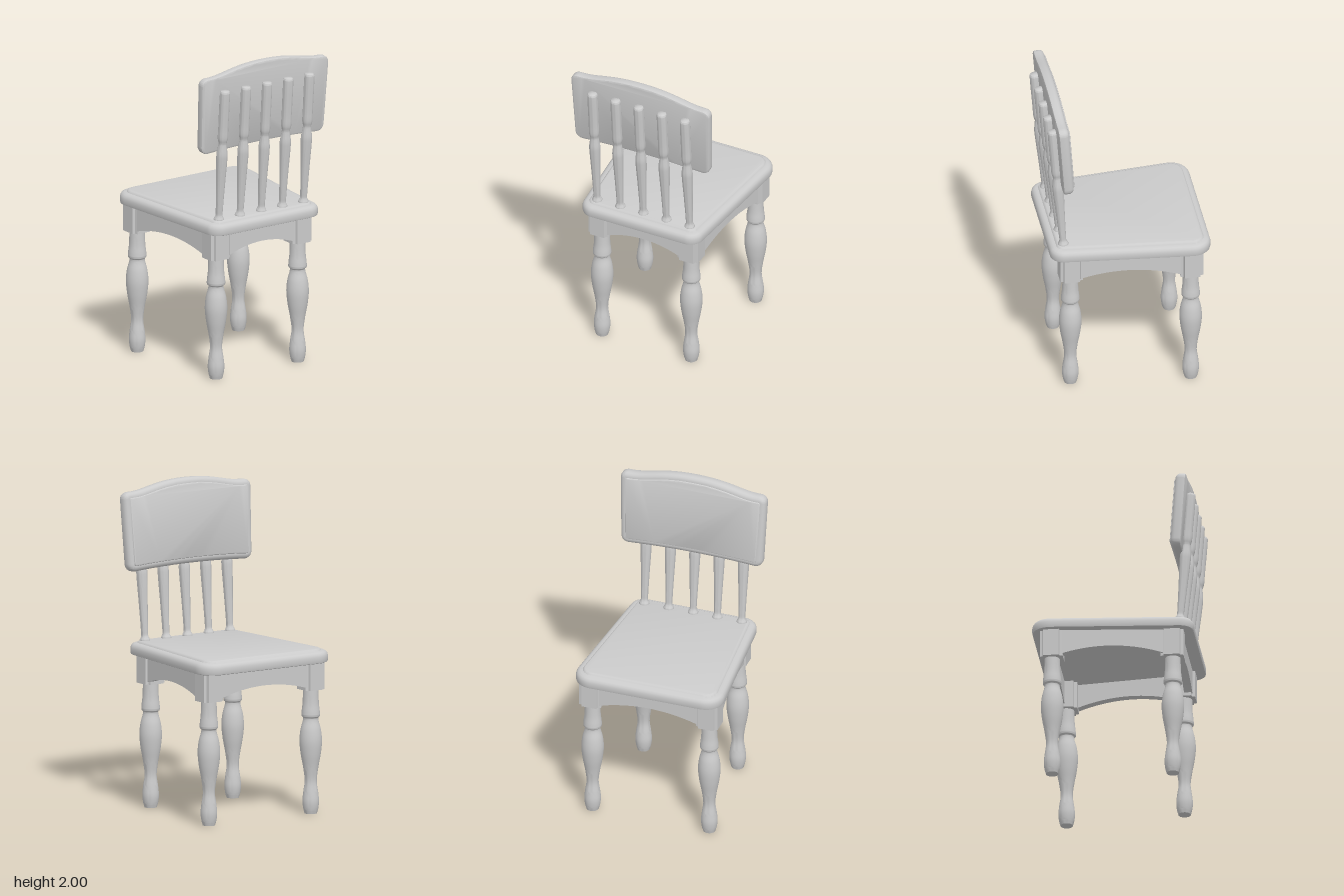
import * as THREE from 'three';
import { toCreasedNormals } from 'three/addons/utils/BufferGeometryUtils.js';

const material = new THREE.MeshStandardMaterial({ color: 0xcccccc });

function add(parent, name, geometry) {
  const mesh = new THREE.Mesh(geometry, material);
  mesh.name = name;
  parent.add(mesh);
  return mesh;
}

// Solid with a moulded edge: the outline repeated at each [inset, height] along z, capped at both ends
function mouldedSlab(shape, profile) {
  const outline = shape.getPoints(14);
  if (outline[0].distanceTo(outline[outline.length - 1]) < 1e-4) outline.pop();
  const n = outline.length;
  const inward = outline.map((p, i) => {
    const a = p.clone().sub(outline[(i + n - 1) % n]).normalize();
    const b = outline[(i + 1) % n].clone().sub(p).normalize();
    const t = a.add(b).normalize();
    return new THREE.Vector2(-t.y, t.x);
  });
  const positions = [], index = [];
  profile.forEach(([inset, h]) => outline.forEach((p, i) =>
    positions.push(p.x + inward[i].x * inset, p.y + inward[i].y * inset, h)));
  for (let r = 0; r < profile.length - 1; r++) {
    for (let i = 0; i < n; i++) {
      const a = r * n + i, b = r * n + (i + 1) % n;
      index.push(a, b, b + n, a, b + n, a + n);
    }
  }
  const top = (profile.length - 1) * n;
  for (const [a, b, c] of THREE.ShapeUtils.triangulateShape(outline, [])) {
    index.push(a, c, b, top + a, top + b, top + c);
  }
  const g = new THREE.BufferGeometry();
  g.setAttribute('position', new THREE.Float32BufferAttribute(positions, 3));
  g.setIndex(index);
  return toCreasedNormals(g, 0.7);
}

// Polygon (counter-clockwise) of [x, y, cornerRadius] with rounded corners
function roundedPolygon(corners) {
  const shape = new THREE.Shape();
  const n = corners.length;
  corners.forEach(([x, y, r], i) => {
    const c = new THREE.Vector2(x, y);
    const toward = (j, d) => {
      const q = corners[(j + n) % n];
      return new THREE.Vector2(q[0], q[1]).sub(c).setLength(d).add(c);
    };
    const p0 = toward(i - 1, r), p1 = toward(i - 1, r * 0.45);
    const p2 = toward(i + 1, r * 0.45), p3 = toward(i + 1, r);
    if (i === 0) shape.moveTo(p0.x, p0.y); else shape.lineTo(p0.x, p0.y);
    shape.bezierCurveTo(p1.x, p1.y, p2.x, p2.y, p3.x, p3.y);
  });
  shape.closePath();
  return shape;
}

// Turned post from [radius, height] points, smoothed and closed at both ends
function turned(points, steps) {
  const curve = new THREE.CatmullRomCurve3(
    points.map(([r, y]) => new THREE.Vector3(r, y, 0)), false, 'centripetal');
  const side = curve.getPoints(steps).map(p => new THREE.Vector2(p.x, p.y));
  const profile = [new THREE.Vector2(0, points[0][1]), ...side,
    new THREE.Vector2(0, points[points.length - 1][1])];
  return toCreasedNormals(new THREE.LatheGeometry(profile, 28), 0.8);
}

export function createModel() {
  const chair = new THREE.Group();
  chair.name = 'chair';

  // Tapered seat with rounded rim and slightly raised centre
  const seatShape = roundedPolygon([
    [-0.5, -0.485, 0.13], [0.485, -0.398, 0.08], [0.485, 0.398, 0.08], [-0.5, 0.485, 0.13]]);
  const seat = mouldedSlab(seatShape, [
    [0.012, 0.94], [0.003, 0.944], [0, 0.955], [0, 0.98], [0.004, 0.994], [0.013, 1.005],
    [0.026, 1.011], [0.042, 1.012], [0.047, 1.02], [0.055, 1.024]]);
  add(chair, 'seat', seat.rotateX(-Math.PI / 2));

  // Legs with corner blocks
  const legGeometry = turned([
    [0.038, 0], [0.046, 0.03], [0.051, 0.075], [0.046, 0.13], [0.037, 0.2], [0.046, 0.28],
    [0.062, 0.37], [0.069, 0.45], [0.062, 0.52], [0.048, 0.575], [0.047, 0.592],
    [0.056, 0.602], [0.056, 0.625], [0.05, 0.68], [0.047, 0.78]], 70);
  const blockShape = new THREE.Shape();
  const corner = [[0.07, 0.048], [0.052, 0.052], [0.048, 0.07]];
  for (let q = 0; q < 4; q++) {
    for (const [x, y] of corner) {
      const p = new THREE.Vector2(x, y).rotateAround(new THREE.Vector2(), q * Math.PI / 2);
      if (q === 0 && x === 0.07) blockShape.moveTo(p.x, p.y); else blockShape.lineTo(p.x, p.y);
    }
  }
  const blockGeometry = new THREE.ExtrudeGeometry(blockShape, { depth: 0.175, bevelEnabled: false });
  blockGeometry.rotateX(-Math.PI / 2).translate(0, 0.768, 0);

  const frontX = -0.376, frontZ = 0.376, backX = 0.355, backZ = 0.303;
  for (const side of [1, -1]) {
    for (const [name, x, z] of [['front', frontX, frontZ], ['back', backX, backZ]]) {
      add(chair, name + 'Leg', legGeometry).position.set(x, 0, side * z);
      add(chair, name + 'CornerBlock', blockGeometry).position.set(x, 0, side * z);
    }
  }

  // Arched aprons between neighbouring blocks, their outer faces just inside the blocks
  const legSpots = [[frontX, frontZ], [backX, backZ], [backX, -backZ], [frontX, -frontZ]];
  ['leftApron', 'backApron', 'rightApron', 'frontApron'].forEach((name, i) => {
    const [x0, z0] = legSpots[i], [x1, z1] = legSpots[(i + 1) % 4];
    const half = Math.hypot(x1 - x0, z1 - z0) / 2, inner = half - 0.06;
    const shape = new THREE.Shape();
    shape.moveTo(-inner, 0.785);
    shape.quadraticCurveTo(0, 0.883, inner, 0.785);
    shape.lineTo(inner, 0.942);
    shape.lineTo(-inner, 0.942);
    shape.closePath();
    const g = new THREE.ExtrudeGeometry(shape, { depth: 0.05, bevelEnabled: false, curveSegments: 20 });
    g.translate(0, 0, 0.005);
    const apron = add(chair, name, g);
    apron.position.set((x0 + x1) / 2, 0, (z0 + z1) / 2);
    apron.rotation.y = -Math.atan2(z1 - z0, x1 - x0);
    // Turn the apron so its outer side faces away from the chair's centre
    const outward = new THREE.Vector3(0, 0, 1).applyEuler(apron.rotation);
    if (outward.dot(apron.position) < 0) apron.rotation.y += Math.PI;
  });

  // Leaning spindles
  const spindleGeometry = turned([
    [0.033, -0.01], [0.031, 0.01], [0.022, 0.03], [0.022, 0.07], [0.027, 0.22], [0.034, 0.39],
    [0.034, 0.43], [0.027, 0.48], [0.025, 0.5], [0.031, 0.53], [0.031, 0.6], [0.031, 0.82],
    [0.029, 0.837], [0.024, 0.842]], 60);
  for (let i = -2; i <= 2; i++) {
    const spindle = add(chair, 'spindle', spindleGeometry);
    spindle.position.set(0.4, 1.02, i * 0.157);
    spindle.rotation.z = -0.079;
  }

  // Crested backrest with moulded edge and raised front panel
  const crest = new THREE.Shape();
  crest.moveTo(-0.405, -0.27);
  crest.quadraticCurveTo(0, -0.242, 0.405, -0.27);
  crest.bezierCurveTo(0.435, -0.27, 0.455, -0.252, 0.456, -0.22);
  crest.lineTo(0.469, 0.17);
  crest.bezierCurveTo(0.47, 0.2, 0.45, 0.217, 0.42, 0.217);
  crest.bezierCurveTo(0.3, 0.215, 0.23, 0.268, 0, 0.268);
  crest.bezierCurveTo(-0.23, 0.268, -0.3, 0.215, -0.42, 0.217);
  crest.bezierCurveTo(-0.45, 0.217, -0.47, 0.2, -0.469, 0.17);
  crest.lineTo(-0.456, -0.22);
  crest.bezierCurveTo(-0.455, -0.252, -0.435, -0.27, -0.405, -0.27);
  const backrestGeometry = mouldedSlab(crest, [
    [0.012, -0.036], [0.003, -0.032], [0, -0.024], [0, 0.004], [0.005, 0.016], [0.014, 0.025],
    [0.026, 0.029], [0.034, 0.029], [0.037, 0.035], [0.042, 0.037]]);
  const backrest = add(chair, 'backrest', backrestGeometry.rotateY(-Math.PI / 2));
  backrest.position.set(0.402, 1.73, 0);
  backrest.rotation.z = -0.076;

  return chair;
}
